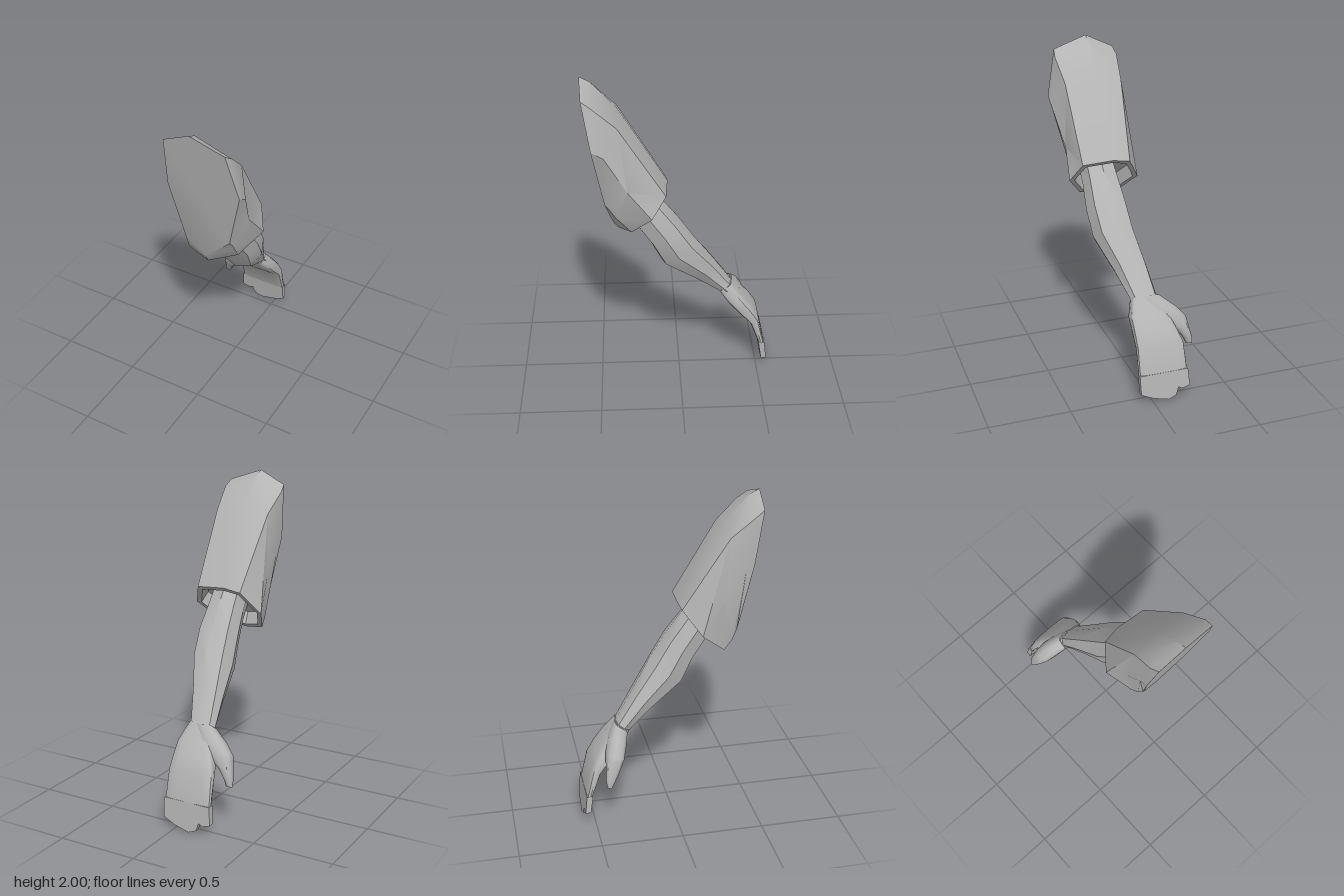
import * as THREE from 'three';
import { toCreasedNormals } from 'three/addons/utils/BufferGeometryUtils.js';

const V = (x, y, z) => new THREE.Vector3(x, y, z);
const lerp = THREE.MathUtils.lerp;

// Skin a list of equal-length rings, closing both ends
function loft(rings, crease) {
  const pos = [];
  const tri = (...pts) => pts.forEach((p) => pos.push(p.x, p.y, p.z));
  const centre = (ring) => ring.reduce((s, p) => s.add(p), V(0, 0, 0)).divideScalar(ring.length);
  const n = rings[0].length;
  const first = rings[0], last = rings[rings.length - 1];
  const c0 = centre(first), c1 = centre(last);
  for (let i = 0; i < n; i++) {
    const j = (i + 1) % n;
    for (let r = 0; r < rings.length - 1; r++) {
      const a = rings[r], b = rings[r + 1];
      tri(a[i], a[j], b[i]);
      tri(a[j], b[j], b[i]);
    }
    tri(c0, first[j], first[i]);
    tri(c1, last[i], last[j]);
  }
  const geo = new THREE.BufferGeometry();
  geo.setAttribute('position', new THREE.Float32BufferAttribute(pos, 3));
  return toCreasedNormals(geo, crease);
}

// Rounded section between two x limits, a back point and a front point (y, z)
function section([x0, x1, yb, zb, yf, zf], sides, power) {
  const round = (v) => Math.sign(v) * Math.pow(Math.abs(v), power);
  return Array.from({ length: sides }, (_, i) => {
    const t = (i / sides) * Math.PI * 2;
    const s = (1 + round(Math.sin(t))) / 2;
    const k = (1 - round(Math.cos(t))) / 2;
    return V(lerp(x0, x1, s), lerp(yb, yf, k), lerp(zb, zf, k));
  });
}

// Shrink a ring about its middle and shift it
function inset(ring, scale, shift) {
  const c = ring.reduce((s, p) => s.add(p), V(0, 0, 0)).divideScalar(ring.length);
  return ring.map((p) => p.clone().sub(c).multiplyScalar(scale).add(c).add(shift));
}

export function createModel() {
  const group = new THREE.Group();
  const grey = new THREE.MeshStandardMaterial({ color: 0xb4b4b4 });
  grey.name = 'plainGrey';
  const add = (name, geo) => {
    const mesh = new THREE.Mesh(geo, grey);
    mesh.name = name;
    group.add(mesh);
  };

  // Sleeve: flat shoulder cut, bevel, middle, cuff, then the hollow of the cuff
  const cut = [[0.04, 2], [0.25, 1.93], [0.31, 1.65], [0.21, 1.27], [0.03, 1.09], [-0.08, 1.19], [-0.15, 1.6], [-0.13, 1.92]]
    .map(([x, y]) => V(x, y, 0.57 - (2 - y) * 0.172));
  const bevel = [V(0.04, 1.97, 0.51), V(0.26, 1.89, 0.5), V(0.31, 1.61, 0.44), V(0.215, 1.25, 0.425),
    V(0.03, 1.08, 0.408), V(-0.085, 1.16, 0.42), V(-0.15, 1.56, 0.45), V(-0.14, 1.88, 0.5)];
  const middle = [V(0.04, 1.81, 0.36), V(0.24, 1.76, 0.36), V(0.26, 1.37, 0.31), V(0.21, 1.18, 0.38),
    V(0.03, 1.055, 0.395), V(-0.095, 1.1, 0.39), V(-0.14, 1.38, 0.33), V(-0.12, 1.76, 0.36)];
  const cuff = [V(0.03, 1.335, 0.07), V(0.22, 1.32, 0.085), V(0.28, 1.2, 0.17), V(0.18, 1.07, 0.29),
    V(0.02, 1.02, 0.37), V(-0.1, 1.04, 0.34), V(-0.17, 1.17, 0.19), V(-0.08, 1.315, 0.08)];
  add('sleeve', loft([cut, bevel, middle, cuff, inset(cuff, 0.86, V(0, 0, 0)), inset(cuff, 0.78, V(0, 0.06, 0.05))], 0.5));

  // Forearm, narrowing to the wrist
  add('forearm', loft([
    [-0.03, 0.19, 1.34, 0.19, 1.17, 0.35],
    [-0.04, 0.19, 1.24, 0.11, 1.08, 0.27],
    [-0.06, 0.2, 1.1, 0, 0.95, 0.18],
    [-0.075, 0.185, 0.95, -0.1, 0.81, 0.11],
    [-0.1, 0.11, 0.78, -0.215, 0.66, -0.1],
    [-0.12, 0.05, 0.6, -0.33, 0.55, -0.24],
    [-0.12, 0.06, 0.53, -0.39, 0.5, -0.3],
  ].map((s) => section(s, 8, 0.8)), 0.6));

  // Palm and joined fingers
  add('hand', loft([
    [-0.12, 0.045, 0.6, -0.33, 0.55, -0.25],
    [-0.16, 0.08, 0.5, -0.41, 0.47, -0.31],
    [-0.19, 0.08, 0.43, -0.465, 0.4, -0.37],
    [-0.22, 0.08, 0.35, -0.51, 0.32, -0.45],
    [-0.23, 0.08, 0.17, -0.55, 0.17, -0.51],
  ].map((s) => section(s, 16, 0.5)), 0.7));

  // Fingertips: thin notched plate, leaning with the hand
  const outline = [[-0.23, 0.18], [-0.24, 0.07], [-0.19, 0.055], [-0.165, 0.07], [-0.15, 0.02],
    [-0.1, 0], [0, 0.025], [0.075, 0.06], [0.08, 0.18]].map(([x, y]) => new THREE.Vector2(x, y));
  const tips = new THREE.ExtrudeGeometry(new THREE.Shape(outline), { depth: 1, bevelEnabled: false });
  const p = tips.attributes.position;
  for (let i = 0; i < p.count; i++) {
    const k = p.getY(i) / 0.17;
    p.setZ(i, lerp(lerp(-0.57, -0.55, k), lerp(-0.54, -0.512, k), p.getZ(i)));
  }
  tips.computeVertexNormals();
  add('fingertips', tips);

  // Thumb, spreading from the wrist
  add('thumb', loft([
    [-0.13, 0, 0.6, -0.34, 0.55, -0.26],
    [-0.22, -0.02, 0.53, -0.39, 0.49, -0.28],
    [-0.28, -0.1, 0.46, -0.42, 0.43, -0.305],
    [-0.295, -0.21, 0.38, -0.43, 0.36, -0.345],
    [-0.308, -0.255, 0.32, -0.435, 0.305, -0.38],
    [-0.31, -0.27, 0.28, -0.43, 0.27, -0.4],
  ].map((s) => section(s, 10, 0.8)), 0.8));

  return group;
}
